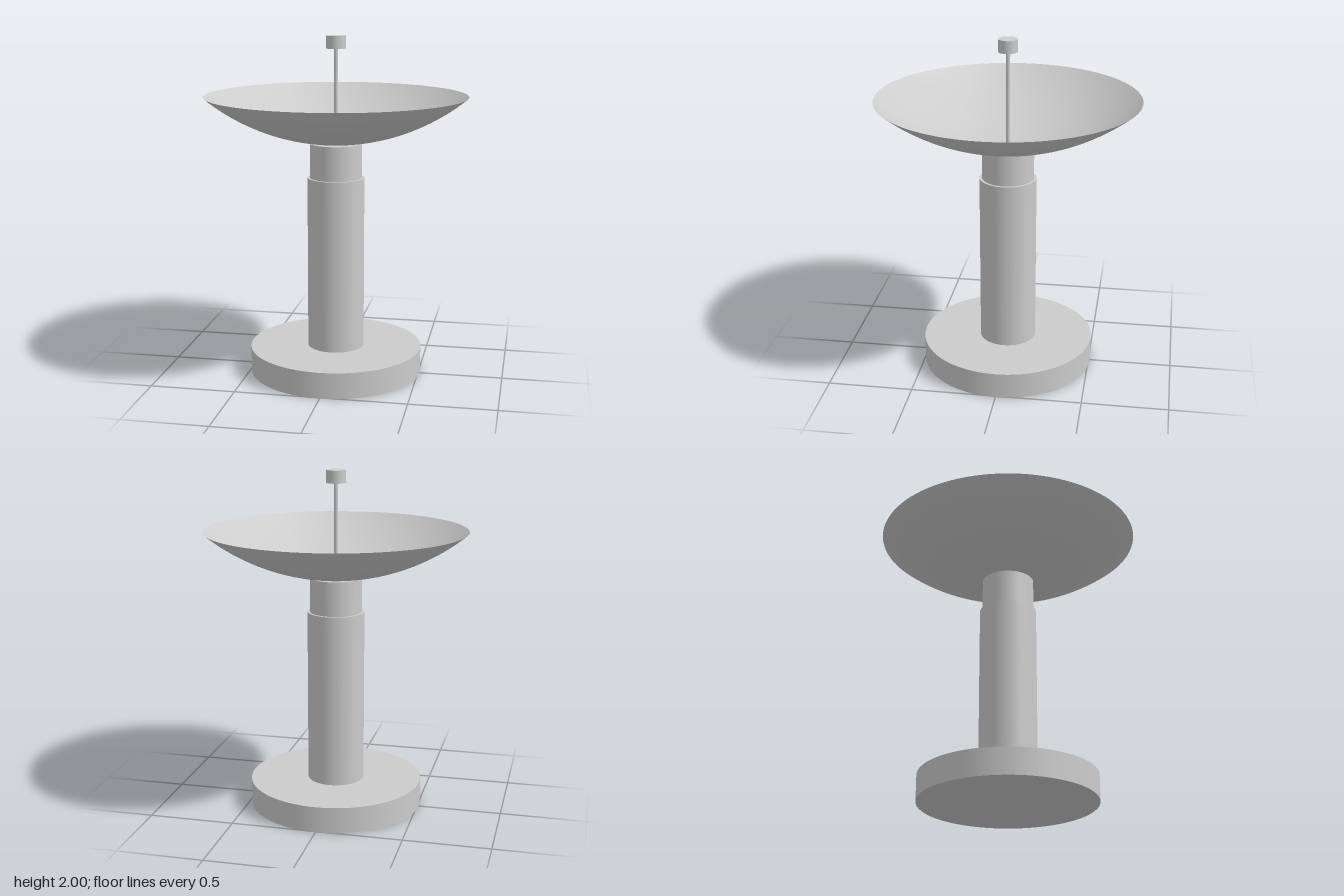
import * as THREE from 'three';

const material = new THREE.MeshStandardMaterial({ color: 0xcccccc });
const thinMaterial = new THREE.MeshStandardMaterial({ color: 0xcccccc, side: THREE.DoubleSide });

// Upright cylinder spanning bottom..top
function post(name, radius, bottom, top, sides = 64) {
  const mesh = new THREE.Mesh(new THREE.CylinderGeometry(radius, radius, top - bottom, sides), material);
  mesh.name = name;
  mesh.position.y = (bottom + top) / 2;
  return mesh;
}

// Shallow spherical bowl, open upwards
function bowl(rimRadius, bottom, rim) {
  const depth = rim - bottom;
  const R = (rimRadius ** 2 + depth ** 2) / (2 * depth);
  const maxAngle = Math.asin(rimRadius / R);
  const profile = [];
  for (let i = 0; i <= 24; i++) {
    const a = (maxAngle * i) / 24;
    profile.push(new THREE.Vector2(R * Math.sin(a), bottom + R * (1 - Math.cos(a))));
  }
  const mesh = new THREE.Mesh(new THREE.LatheGeometry(profile, 96), thinMaterial);
  mesh.name = 'dish';
  return mesh;
}

export function createModel() {
  const model = new THREE.Group();
  model.name = 'dishAntenna';
  model.add(
    post('base', 0.51, 0, 0.153, 96),
    post('column', 0.167, 0.153, 1.177),
    post('collar', 0.152, 1.177, 1.379),
    bowl(0.765, 1.38, 1.656),
    post('feedRod', 0.0125, 1.38, 1.927, 24),
    post('receiver', 0.056, 1.927, 2, 48),
  );
  return model;
}
